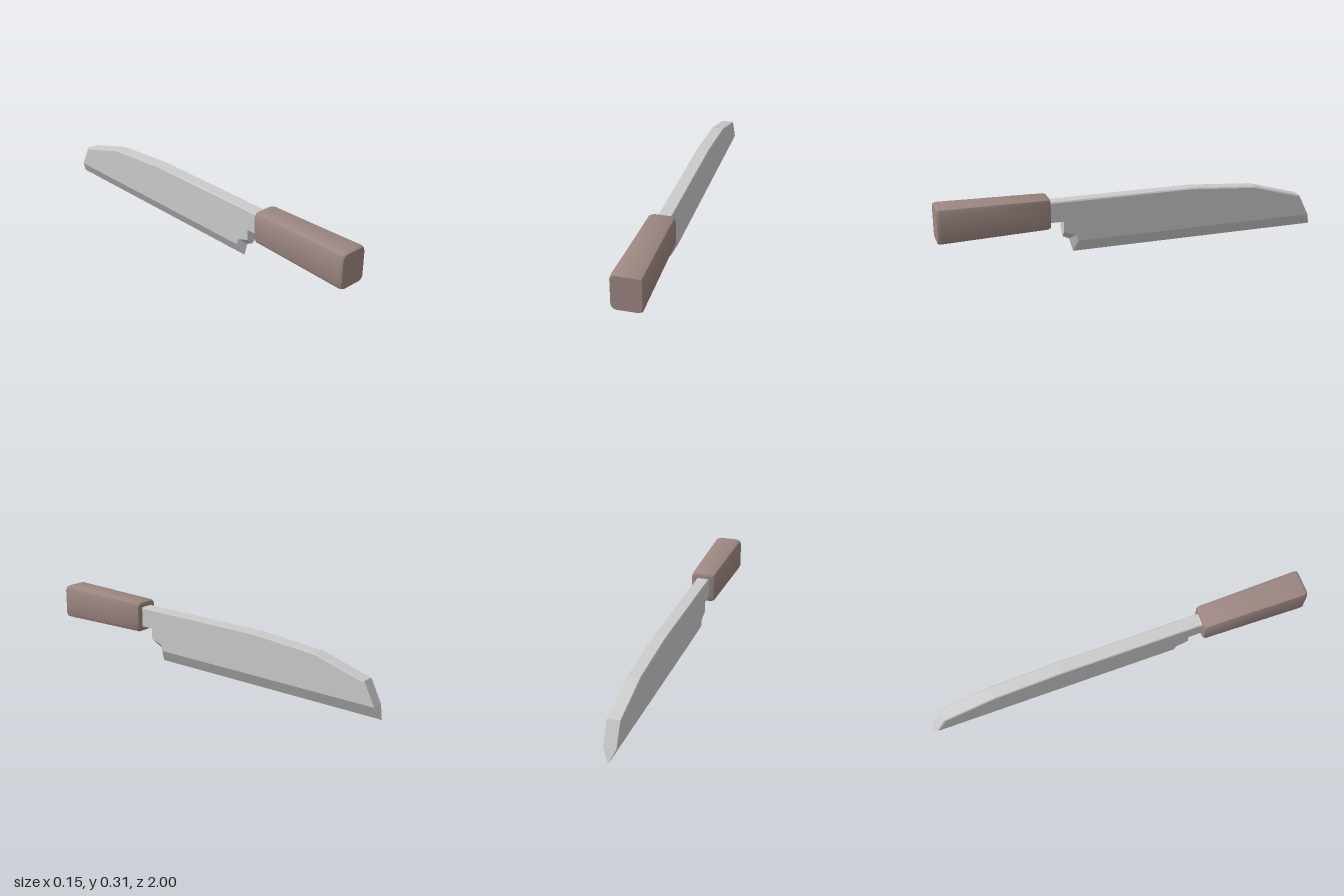
import * as THREE from 'three';
import { toCreasedNormals } from 'three/addons/utils/BufferGeometryUtils.js';

const HALF = 0.034; // half thickness of the blade
const SPINE = 0.03; // half width of the spine between its small chamfers

function geometryFrom(points) {
  const g = new THREE.BufferGeometry();
  g.setAttribute('position', new THREE.Float32BufferAttribute(points.flat(), 3));
  g.computeVertexNormals();
  return g;
}

// Blade outline: each entry pairs a point on the flat side (z, y)
// with a point on the outer rim (z, y, half width); width 0 is a sharp edge.
const outline = [
  [0.47, 0.172, 0.47, 0.172, HALF],
  [0.378, 0.172, 0.378, 0.172, HALF],
  [0.378, 0.117, 0.378, 0.117, HALF],
  [0.378, 0.117, 0.378, 0.085, 0],
  [0.315, 0.095, 0.345, 0.069, 0],
  [0.305, 0.063, 0.326, 0, 0],
  [-0.966, 0.063, -1, 0, 0],
  [-0.966, 0.063, -0.974, 0.063, SPINE],
  [-0.91, 0.169, -0.918, 0.175, SPINE],
  [-0.65, 0.243, -0.652, 0.25, SPINE],
  [-0.3, 0.27, -0.3, 0.277, SPINE],
  [0.47, 0.27, 0.47, 0.277, SPINE],
];

function bladeGeometry() {
  const out = [];
  const same = (a, b) => a.every((v, i) => v === b[i]);
  const tri = (a, b, c) => {
    if (!same(a, b) && !same(b, c) && !same(a, c)) out.push(a, b, c);
  };
  const flip = ([x, y, z]) => [-x, y, z];
  const both = (a, b, c) => {
    tri(a, b, c);
    tri(flip(a), flip(c), flip(b));
  };
  const side = outline.map(([z, y]) => [HALF, y, z]);
  const rim = outline.map(([, , z, y, w]) => [w, y, z]);

  // flat sides
  const flat = side.filter((p, i) => i === 0 || !same(p, side[i - 1]));
  const contour = flat.map(([, y, z]) => new THREE.Vector2(-z, y));
  for (const [a, b, c] of THREE.ShapeUtils.triangulateShape(contour, [])) {
    both(flat[a], flat[b], flat[c]);
  }
  // bevels, spine, tip and heel
  side.forEach((s, i) => {
    const j = (i + 1) % side.length;
    both(s, rim[i], rim[j]);
    both(s, rim[j], side[j]);
    const l0 = rim[i][0] ? flip(rim[i]) : rim[i];
    const l1 = rim[j][0] ? flip(rim[j]) : rim[j];
    tri(rim[i], l0, l1);
    tri(rim[i], l1, rim[j]);
  });
  return geometryFrom(out);
}

// Rounded rectangle ring at depth z
function ring([z, w, y0, y1, r]) {
  const pts = [];
  const corners = [[w - r, y1 - r], [r - w, y1 - r], [r - w, y0 + r], [w - r, y0 + r]];
  corners.forEach(([cx, cy], q) => {
    for (let k = 0; k <= 2; k++) {
      const a = (q + k / 2) * Math.PI / 2;
      pts.push([cx + r * Math.cos(a), cy + r * Math.sin(a), z]);
    }
  });
  return pts;
}

function handleGeometry() {
  // z, half width, bottom, top, corner radius
  const rings = [
    [0.447, 0.053, 0.156, 0.293, 0.018],
    [0.45, 0.061, 0.149, 0.3, 0.022],
    [0.462, 0.067, 0.143, 0.305, 0.024],
    [0.72, 0.071, 0.137, 0.309, 0.025],
    [0.982, 0.076, 0.131, 0.313, 0.026],
    [0.995, 0.074, 0.133, 0.311, 0.025],
    [1, 0.07, 0.137, 0.307, 0.022],
  ].map(ring);
  const out = [];
  const n = rings[0].length;
  for (let k = 0; k < rings.length - 1; k++) {
    for (let i = 0; i < n; i++) {
      const j = (i + 1) % n;
      const [a, b, c, d] = [rings[k][i], rings[k][j], rings[k + 1][j], rings[k + 1][i]];
      out.push(a, b, c, a, c, d);
    }
  }
  // end caps
  const back = rings[0], front = rings[rings.length - 1];
  for (let i = 1; i < n - 1; i++) {
    out.push(front[0], front[i], front[i + 1], back[0], back[i + 1], back[i]);
  }
  return toCreasedNormals(geometryFrom(out), 0.7);
}

export function createModel() {
  const group = new THREE.Group();
  group.name = 'knife';

  const blade = new THREE.Mesh(
    bladeGeometry(),
    new THREE.MeshStandardMaterial({ color: 0xcccccc, flatShading: true })
  );
  blade.name = 'blade';

  const handle = new THREE.Mesh(
    handleGeometry(),
    new THREE.MeshStandardMaterial({ color: 0x9d8782 })
  );
  handle.name = 'handle';

  group.add(blade, handle);
  return group;
}
